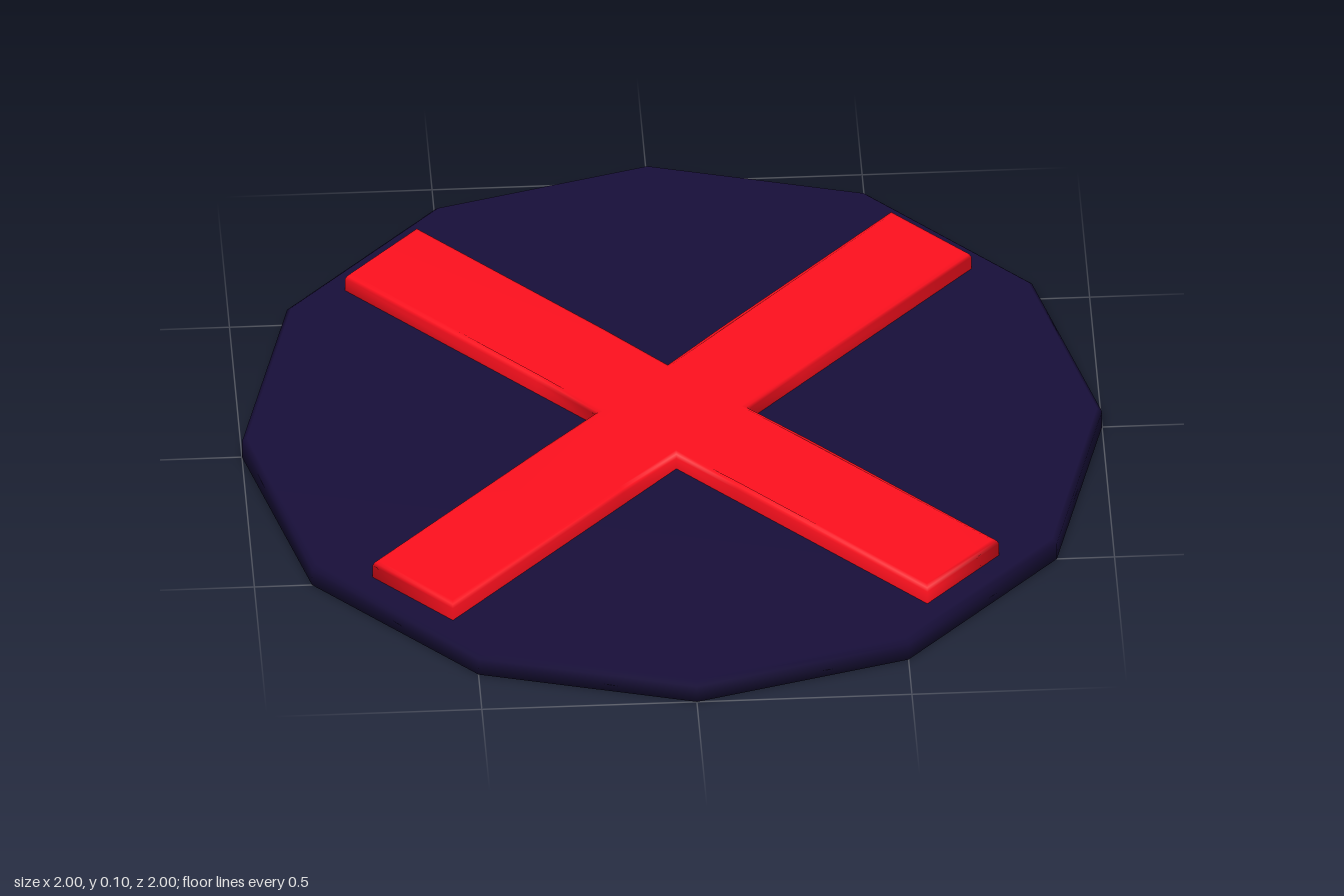
import * as THREE from 'three';
import { mergeVertices } from 'three/addons/utils/BufferGeometryUtils.js';

// Weld shared corners so that the shading runs smoothly over the edges
function smooth(geometry) {
  geometry.deleteAttribute('uv');
  geometry.deleteAttribute('normal');
  const welded = mergeVertices(geometry, 1e-4);
  welded.computeVertexNormals();
  return welded;
}

function addPart(group, name, geometry, color) {
  const mesh = new THREE.Mesh(geometry, new THREE.MeshStandardMaterial({ color }));
  mesh.name = name;
  group.add(mesh);
}

// Twelve-sided plate with a small bevel around the top
function plateGeometry() {
  const profile = [[0, 0], [1, 0], [1, 0.045], [0.988, 0.056], [0, 0.056]];
  return smooth(new THREE.LatheGeometry(profile.map(([r, y]) => new THREE.Vector2(r, y)), 12));
}

// Diagonal cross: one outline with a bevelled rim, dipping slightly at the middle
function crossGeometry() {
  const half = 0.125, bend = 0.31, end = 0.905, bevel = 0.012;
  const arm = [[half, -half], [bend, -half], [end, -half], [end, half], [bend, half]];
  const outline = [];
  for (let i = 0; i < 4; i++) {
    const turn = Math.PI / 4 + i * Math.PI / 2;
    for (const [x, y] of arm) {
      outline.push(new THREE.Vector2(x, y).rotateAround(new THREE.Vector2(), turn));
    }
  }
  const geometry = new THREE.ExtrudeGeometry(new THREE.Shape(outline), {
    depth: 0.036, bevelEnabled: true, bevelSize: bevel, bevelThickness: bevel,
    bevelOffset: -bevel, bevelSegments: 2,
  });
  geometry.rotateX(-Math.PI / 2);
  geometry.translate(0, 0.054, 0);

  const position = geometry.attributes.position;
  for (let i = 0; i < position.count; i++) {
    const radius = Math.hypot(position.getX(i), position.getZ(i));
    if (radius < 0.2 && position.getY(i) > 0.08) position.setY(i, position.getY(i) - 0.004);
  }
  return smooth(geometry);
}

export function createModel() {
  const group = new THREE.Group();
  group.name = 'crossMarker';
  addPart(group, 'plate', plateGeometry(), 0x180f3a);
  addPart(group, 'cross', crossGeometry(), 0xff101e);
  return group;
}
